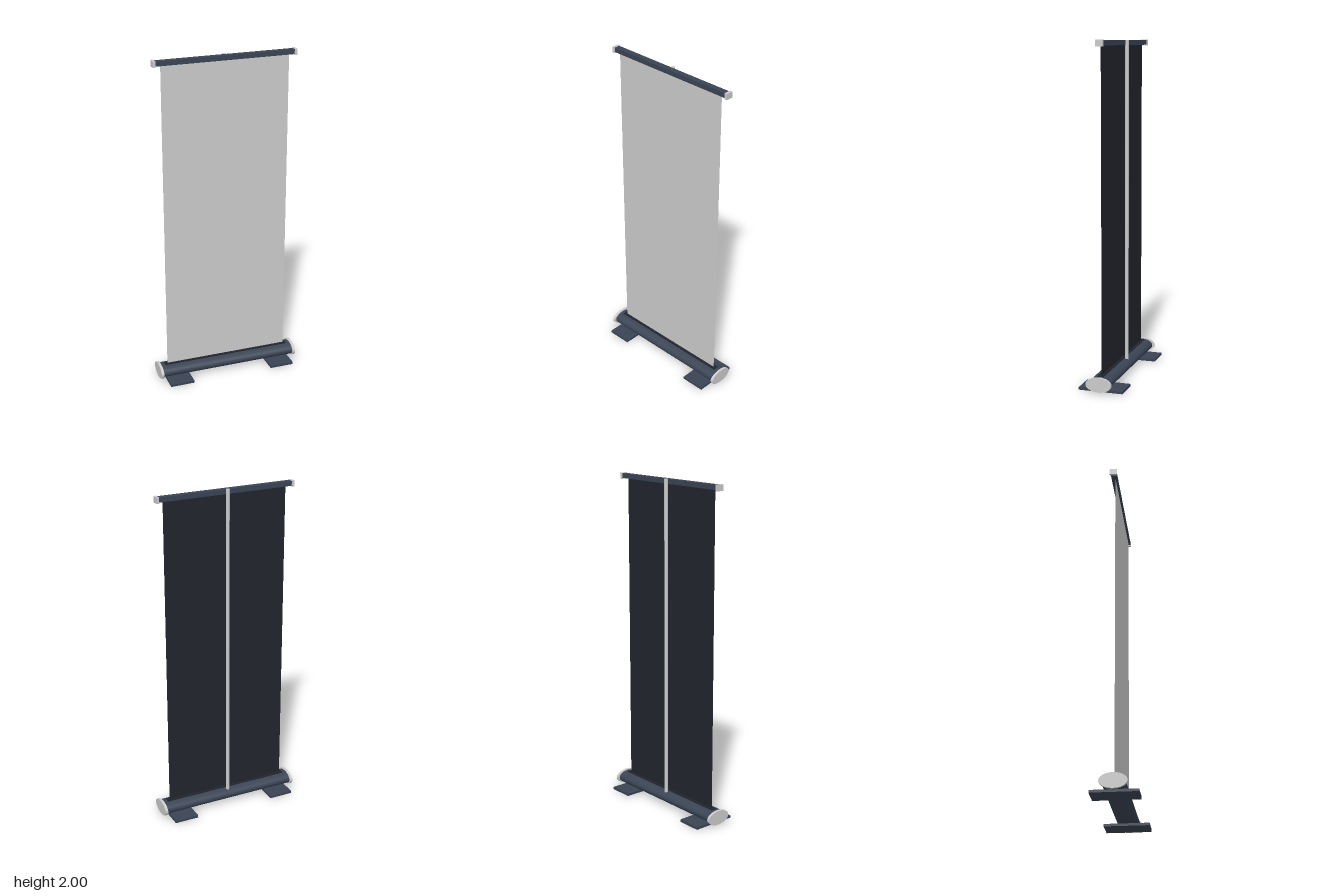
import * as THREE from 'three';

export function createModel() {
  const model = new THREE.Group();
  const mat = (color, side = THREE.FrontSide) => new THREE.MeshStandardMaterial({ color, side });
  const navy = mat(0x3a4454);
  const grey = mat(0xcccccc);
  const black = mat(0x22252d);

  const add = (name, geometry, material, x, y, z) => {
    const mesh = new THREE.Mesh(geometry, material);
    mesh.name = name;
    mesh.position.set(x, y, z);
    model.add(mesh);
    return mesh;
  };
  const box = (name, w, h, d, material, x, y, z) =>
    add(name, new THREE.BoxGeometry(w, h, d), material, x, y, z);
  // Elliptical cylinder lying along x
  const oval = (name, length, ry, rz, material, x, y) => {
    const geometry = new THREE.CylinderGeometry(1, 1, length, 48);
    geometry.rotateZ(Math.PI / 2);
    geometry.scale(1, ry, rz);
    return add(name, geometry, material, x, y, 0);
  };

  // Base housing with the slot the banner rises from
  oval('baseHousing', 0.854, 0.038, 0.065, navy, 0, 0.052);
  box('bannerSlot', 0.8, 0.008, 0.034, black, 0, 0.09, 0);

  // Banner: printed front and dark backing
  const height = 1.88;
  add('bannerFront', new THREE.PlaneGeometry(0.768, height), grey, 0, 0.092 + height / 2, 0.002);
  const back = add('bannerBack', new THREE.PlaneGeometry(0.768, height), black, 0, 0.092 + height / 2, -0.002);
  back.rotation.y = Math.PI;

  // Top rail
  box('topRail', 0.83, 0.028, 0.034, navy, 0, 1.983, -0.005);

  // Support pole behind the banner
  add('supportPole', new THREE.CylinderGeometry(0.011, 0.011, 1.92, 16), grey, 0, 1.039, -0.03);

  // Mirrored end caps and feet
  for (const [side, s] of [['left', 1], ['right', -1]]) {
    oval(side + 'BaseCap', 0.016, 0.043, 0.077, grey, s * 0.434, 0.052);
    box(side + 'RailCap', 0.016, 0.036, 0.043, grey, s * 0.422, 1.982, -0.006);
    box(side + 'Foot', 0.149, 0.015, 0.267, navy, s * 0.327, 0.0075, 0);
  }
  return model;
}
